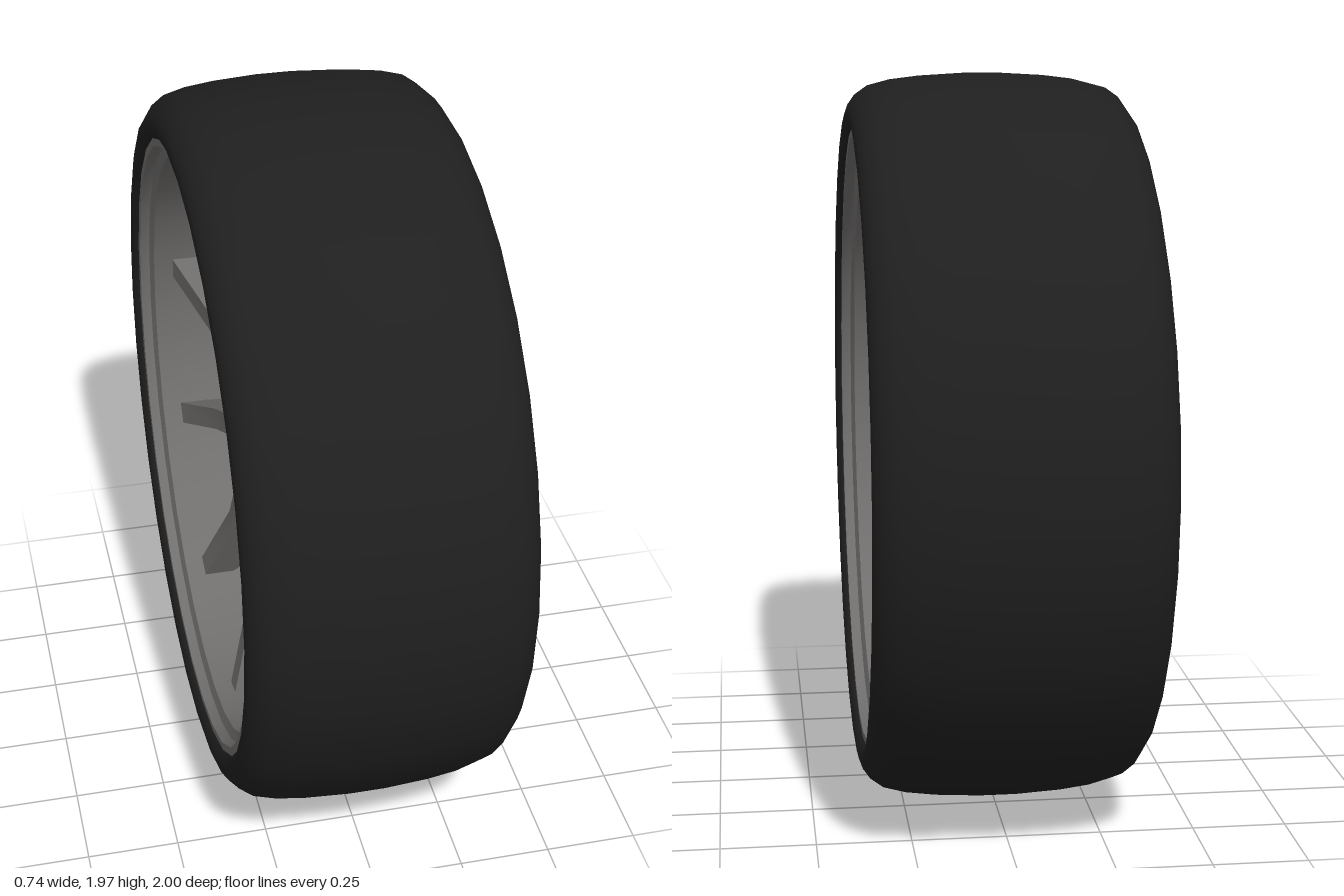
import * as THREE from 'three';
import { toCreasedNormals } from 'three/addons/utils/BufferGeometryUtils.js';

const SIDES = 30;
const SPOKES = 10;

const rubber = new THREE.MeshStandardMaterial({ color: 0x1f1f1f });
const metal = new THREE.MeshStandardMaterial({ color: 0x716f6e });
const gold = new THREE.MeshStandardMaterial({ color: 0x8a6a08 });

// Closed ring around local z. Both half profiles list [radius, offset]:
// outer runs from the side to the middle, inner from the side to the middle.
function ring(outer, inner) {
  const flip = (pts) => pts.map(([r, h]) => [r, -h]);
  const loop = [
    ...flip(outer), ...[...outer].reverse(),
    ...inner, ...flip([...inner].reverse()),
  ].map(([r, h]) => new THREE.Vector2(r, h));
  loop.push(loop[0].clone());
  return new THREE.LatheGeometry(loop, SIDES, Math.PI / 2).rotateX(Math.PI / 2);
}

function add(parent, name, geometry, material) {
  const mesh = new THREE.Mesh(geometry, material);
  mesh.name = name;
  parent.add(mesh);
  return mesh;
}

export function createModel() {
  const model = new THREE.Group();
  model.name = 'wheel';

  // Wheel frame: local z is the axle (+x of the model), local y is up
  const wheel = new THREE.Group();
  wheel.name = 'wheelAssembly';
  wheel.rotation.y = Math.PI / 2;
  wheel.position.y = 0.983;
  model.add(wheel);

  // Tire: rounded beads, sidewalls and shoulders, crowned tread, slightly flattened
  const tire = ring([
    [0.845, 0.335], [0.855, 0.355], [0.872, 0.366], [0.89, 0.37], [0.915, 0.364],
    [0.942, 0.345], [0.967, 0.31], [0.983, 0.25], [0.993, 0.17], [1, 0.05],
  ], [[0.835, 0.32], [0.835, 0.1]]);
  tire.scale(1, 0.988, 1);
  add(wheel, 'tire', tire, rubber);

  // Rim: stepped lips joined by a barrel
  const rim = ring([[0.864, 0.352], [0.864, 0.3]],
    [[0.825, 0.352], [0.82, 0.325], [0.793, 0.315], [0.793, 0.15]]);
  add(wheel, 'rim', toCreasedNormals(rim, 0.45), metal);

  const centre = new THREE.Group();
  centre.name = 'wheelCentre';
  centre.position.x = 0.016;
  wheel.add(centre);

  // Hub disc with four bolt holes
  const disc = new THREE.Shape();
  disc.absarc(0, 0, 0.2, 0, Math.PI * 2, false);
  for (let i = 0; i < 4; i++) {
    const a = (i * Math.PI) / 2;
    const hole = new THREE.Path();
    hole.absarc(0.137 * Math.cos(a), 0.137 * Math.sin(a), 0.022, 0, Math.PI * 2, true);
    disc.holes.push(hole);
  }
  const hub = new THREE.ExtrudeGeometry(disc, { depth: 0.13, bevelEnabled: false, curveSegments: 10 });
  hub.translate(0, 0, -0.18);
  add(centre, 'hub', hub, metal);

  // Hub cap on the outer face
  const cap = new THREE.CylinderGeometry(0.108, 0.108, 0.03, 24).rotateX(Math.PI / 2);
  cap.translate(0, 0, -0.187);
  add(centre, 'hubCap', cap, gold);

  // Spokes: thin fins flush with the hub, deepest at mid radius, flaring outward to the rim
  const fin = new THREE.Shape([
    [0.185, -0.18], [0.5, -0.195], [0.8, -0.265], [0.8, -0.19],
    [0.73, -0.13], [0.505, 0.055], [0.185, -0.05],
  ].map(([r, h]) => new THREE.Vector2(r, h)));
  const blade = new THREE.ExtrudeGeometry(fin, { depth: 0.062, bevelEnabled: false });
  blade.translate(0, 0, -0.031).rotateX(Math.PI / 2);
  const spoke = toCreasedNormals(blade, 1.1);
  for (let i = 0; i < SPOKES; i++) {
    const mesh = add(centre, `spoke${i + 1}`, spoke, metal);
    mesh.rotation.z = THREE.MathUtils.degToRad(9 + (i * 360) / SPOKES);
  }

  return model;
}
